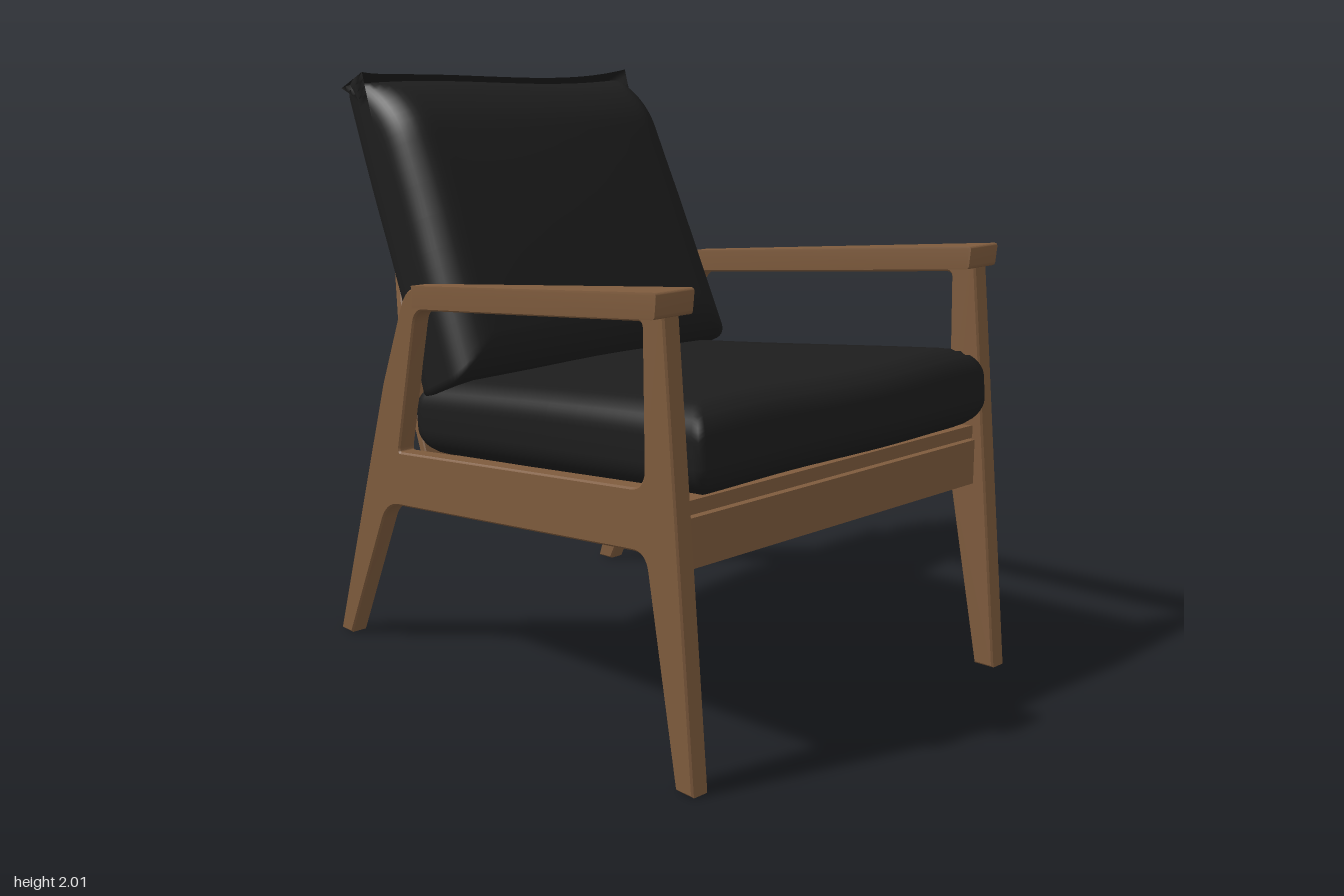
import * as THREE from 'three';
import { mergeVertices, toCreasedNormals } from 'three/addons/utils/BufferGeometryUtils.js';

const wood = new THREE.MeshStandardMaterial({ color: 0x7e5b3d });
wood.name = 'walnut wood';
const fabric = new THREE.MeshStandardMaterial({ color: 0x1d1d1d });
fabric.name = 'black upholstery';

// Polygon with corners [a, b, radius] softened by curves.
function roundedPath(corners, path) {
  const n = corners.length;
  corners.forEach(([a, b, r = 0], i) => {
    const p = new THREE.Vector2(a, b);
    const toward = ([c, d]) => new THREE.Vector2(c, d).sub(p).setLength(r).add(p);
    const start = toward(corners[(i + n - 1) % n]);
    const end = toward(corners[(i + 1) % n]);
    if (i === 0) path.moveTo(start.x, start.y);
    else path.lineTo(start.x, start.y);
    if (r) path.quadraticCurveTo(a, b, end.x, end.y);
  });
  path.closePath();
  return path;
}

// Slab of the given thickness, centred on its depth, with tiny bevels.
function slab(shape, thickness, bevel = 0.006) {
  const geo = new THREE.ExtrudeGeometry(shape, {
    depth: thickness - 2 * bevel, bevelThickness: bevel, bevelSize: bevel,
    bevelOffset: -bevel, bevelSegments: 1, curveSegments: 8,
  });
  return geo.translate(0, 0, bevel - thickness / 2);
}

// Side-profile slab: shape (z, y), with the thickness running along x.
const profileSlab = (shape, thickness) => slab(shape, thickness).rotateY(-Math.PI / 2);

function moveVertices(geo, rule) {
  const pos = geo.attributes.position;
  const v = new THREE.Vector3();
  for (let i = 0; i < pos.count; i++) {
    rule(v.fromBufferAttribute(pos, i));
    pos.setXYZ(i, v.x, v.y, v.z);
  }
  return geo;
}

function addMesh(group, name, geo, material) {
  const mesh = new THREE.Mesh(geo, material);
  mesh.name = name;
  group.add(mesh);
  return mesh;
}

// Pillow: square in plan (x, y), rounded through its thickness (z).
function cushion(hx, hy, hz, r, rule) {
  let geo = new THREE.BoxGeometry(2, 2, 2, 28, 28, 14);
  geo.deleteAttribute('normal');
  geo.deleteAttribute('uv');
  geo = mergeVertices(geo);
  const spread = (u) => Math.sign(u) * Math.abs(u) ** 0.6;
  const split = (u, h) => {
    const p = spread(u) * h;
    const core = THREE.MathUtils.clamp(p, r - h, h - r);
    return [core, (p - core) / r];
  };
  moveVertices(geo, (v) => {
    const [cx, qx] = split(v.x, hx);
    const [cy, qy] = split(v.y, hy);
    const [cz, qz] = split(v.z, hz);
    const inPlan = Math.sqrt(1 - qz * qz / 2);
    v.set(
      cx + r * qx * inPlan,
      cy + r * qy * inPlan,
      cz + r * qz * Math.sqrt(1 - Math.max(qx * qx, qy * qy) / 2),
    );
    rule(v, v.x / hx, v.y / hy);
  });
  geo.computeVertexNormals();
  return geo;
}

export function createModel() {
  const chair = new THREE.Group();
  chair.name = 'lounge chair';

  // Side frames: both legs, seat rail and arm support in one splayed outline
  const frameShape = roundedPath([
    [0.965, 0], [0.83, 1.432], [-0.452, 1.311, 0.075], [-0.602, 0.965, 0.01],
    [-0.93, 0], [-0.86, 0], [-0.598, 0.54, 0.075], [0.758, 0.68, 0.055], [0.89, 0],
  ], new THREE.Shape());
  frameShape.holes.push(roundedPath([
    [0.745, 1.35, 0.02], [0.754, 0.868, 0.06], [-0.515, 0.738, 0.015], [-0.395, 1.24, 0.05],
  ], new THREE.Path()));

  const armShape = roundedPath([
    [0.842, 1.37, 0.012], [0.85, 1.447, 0.015], [-0.41, 1.321], [-0.41, 1.244],
  ], new THREE.Shape());

  for (const side of [1, -1]) {
    const label = side > 0 ? 'left' : 'right';
    const frame = moveVertices(profileSlab(frameShape, 0.066), (v) => {
      v.x += side * (0.684 + 0.051 * v.z);
    });
    addMesh(chair, label + 'SideFrame', toCreasedNormals(frame, 0.5), wood);

    // Armrest widening towards the front
    const arm = moveVertices(profileSlab(armShape, 1), (v) => {
      const k = (v.z + 0.41) / 1.26;
      v.x = v.x * (0.068 + 0.084 * k) + side * (0.664 + 0.061 * k);
    });
    addMesh(chair, label + 'Armrest', toCreasedNormals(arm, 0.5), wood);
  }

  // Front rail between the front legs
  addMesh(chair, 'frontRail', new THREE.BoxGeometry(1.4, 0.152, 0.07), wood)
    .position.set(0, 0.711, 0.825);

  // Sloping seat panel, narrower at the back
  const seatShape = roundedPath([
    [0.85, 0.793], [0.85, 0.836], [-0.475, 0.706], [-0.475, 0.662],
  ], new THREE.Shape());
  const seatPanel = moveVertices(profileSlab(seatShape, 2), (v) => {
    v.x *= 0.657 + 0.05 * v.z;
  });
  addMesh(chair, 'seatPanel', toCreasedNormals(seatPanel, 0.5), wood);

  // Reclined back panel tapering above the arms
  const backShape = roundedPath([
    [-0.63, 0], [0.63, 0], [0.605, 0.37], [0.41, 1.115, 0.015],
    [-0.41, 1.115, 0.015], [-0.605, 0.37],
  ], new THREE.Shape());
  const backPanel = addMesh(chair, 'backPanel', toCreasedNormals(slab(backShape, 0.032, 0.004), 0.5), wood);
  backPanel.position.set(0, 0.684, -0.44);
  backPanel.rotation.x = -0.434;

  // Seat cushion: local +y points to the back, +z is the top
  const seatGeo = cushion(0.66, 0.7, 0.133, 0.1, (v, u, w) => {
    const edge = Math.max(u * u, w * w);
    v.x *= 1 - 0.045 * w - 0.012 * (1 - w * w);
    v.y -= 0.008 * Math.sin(5 * u);
    if (v.z > 0) v.z += 0.01 * (1 - edge) + 0.005 * Math.sin(4 * u + 2 * w);
  });
  const seat = addMesh(chair, 'seatCushion', seatGeo, fabric);
  seat.position.set(0, 0.914, 0.205);
  seat.rotation.x = -Math.PI / 2 - 0.09;

  // Back cushion, slightly slumped to one side, its front rolling over at the top
  const backGeo = cushion(0.617, 0.56, 0.175, 0.13, (v, u, w) => {
    const top = Math.max(w, 0);
    const front = v.z > 0;
    v.x = v.x * (1 - 0.03 * w) - 0.01 * top;
    v.y -= top * (0.022 * Math.sin(2.6 * u) + 0.01 * u * u);
    v.z += 0.02 * (1 - u * u) * (1 - w * w) * Math.sign(v.z);
    v.z += top * top * (0.02 * Math.sin(2.5 * u) + 0.035 * u * u - 0.03);
    if (front) v.z -= 0.6 * Math.max(w - 0.5, 0) ** 2;
    else v.z += 0.04 * top * top * u ** 6 + 0.03 * Math.min(w + 0.4, 0);
  });
  const back = addMesh(chair, 'backCushion', backGeo, fabric);
  back.position.set(0, 1.483, -0.572);
  back.rotation.x = -0.434;

  return chair;
}
